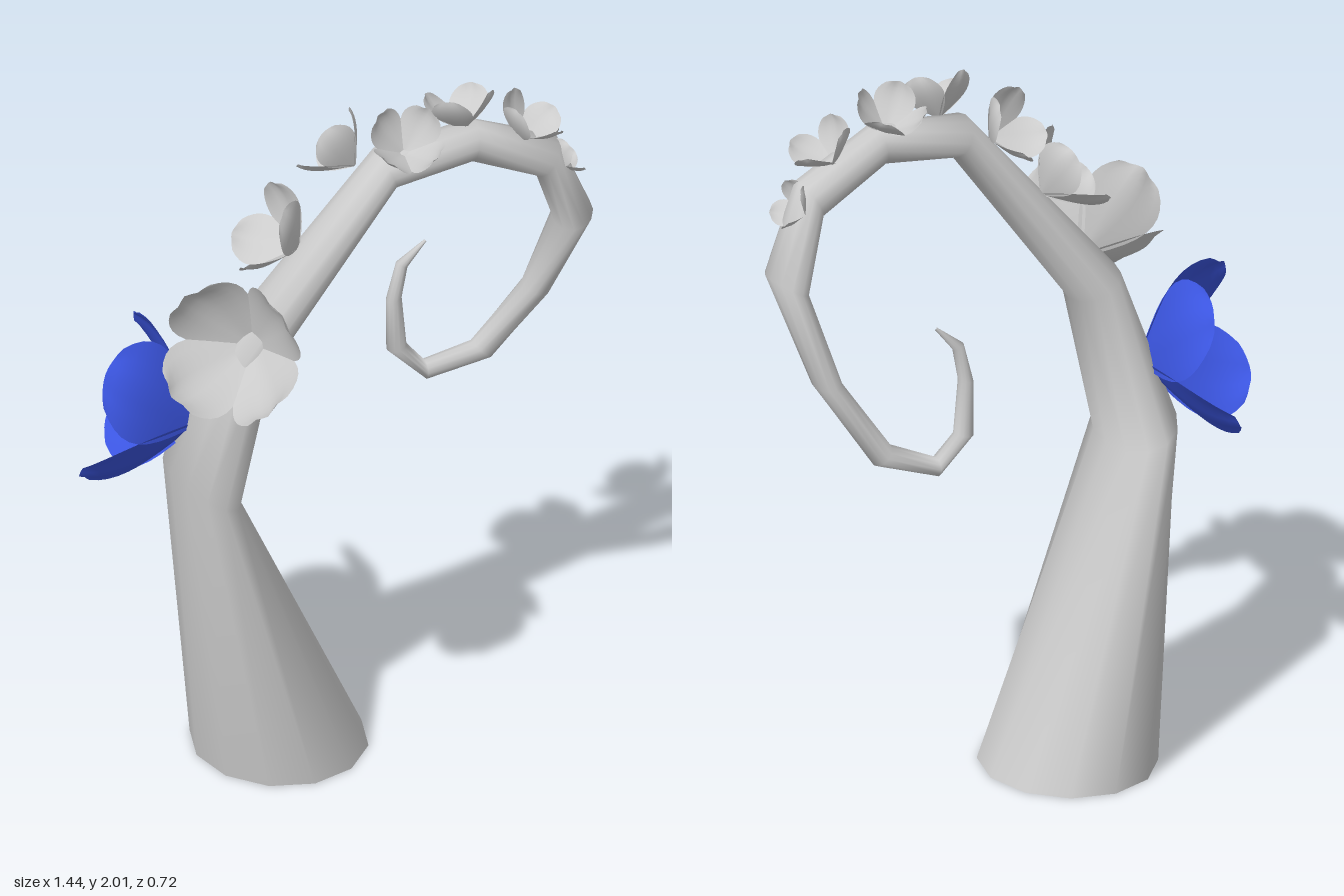
import * as THREE from 'three';

const SIDES = 12;

// Stem rings: outer x, y, inner x, y, centre z, half-width in z
const RINGS = [
  [-0.35, 0, 0.125, 0, -0.105, 0.255],
  [-0.455, 0.95, -0.275, 0.86, -0.03, 0.172],
  [-0.34, 1.35, -0.2, 1.28, 0.035, 0.1],
  [0.1, 1.88, 0.145, 1.77, 0.068, 0.068],
  [0.38, 1.915, 0.36, 1.8, 0.072, 0.057],
  [0.62, 1.805, 0.56, 1.7, 0.06, 0.062],
  [0.728, 1.56, 0.63, 1.51, 0.026, 0.085],
  [0.647, 1.26, 0.575, 1.27, -0.07, 0.053],
  [0.51, 1.03, 0.46, 1.08, -0.145, 0.036],
  [0.34, 0.975, 0.34, 1.03, -0.185, 0.028],
  [0.235, 1.08, 0.29, 1.09, -0.195, 0.027],
  [0.233, 1.235, 0.275, 1.245, -0.193, 0.022],
  [0.26, 1.35, 0.29, 1.335, -0.188, 0.017],
  [0.337, 1.41, 0.343, 1.405, -0.18, 0.004],
];

// Flowers: base position, facing direction, height
const FLOWERS = [
  ['blueFlower', [-0.375, 1.085, -0.035], [-0.78, 0.21, -0.55], 0.285],
  ['largeFlower', [-0.265, 1.37, 0.085], [-0.5, 0.28, 0.53], 0.235],
  ['flower', [-0.11, 1.61, 0.03], [-0.7, 0.5, -0.15], 0.155],
  ['flower', [0.055, 1.82, 0.02], [-0.45, 0.45, -0.55], 0.128],
  ['flower', [0.165, 1.875, 0.095], [-0.08, 0.75, 0.5], 0.12],
  ['flower', [0.35, 1.89, 0.065], [-0.02, 0.9, -0.3], 0.115],
  ['flower', [0.505, 1.83, 0.07], [0.4, 0.7, 0.12], 0.11],
  ['smallFlower', [0.6, 1.72, 0.055], [0.75, 0.42, 0.06], 0.082],
];

// Smooth grid surface from a point function; wrap joins the columns into a ring
function gridGeometry(rows, cols, wrap, point) {
  const positions = [], index = [];
  const n = wrap ? cols : cols + 1;
  for (let i = 0; i <= rows; i++) {
    for (let j = 0; j < n; j++) positions.push(...point(i, j));
  }
  for (let i = 0; i < rows; i++) {
    for (let j = 0; j < cols; j++) {
      const k = (j + 1) % n;
      const a = i * n + j, b = i * n + k, c = a + n, d = b + n;
      index.push(a, b, d, a, d, c);
    }
  }
  const g = new THREE.BufferGeometry();
  g.setAttribute('position', new THREE.Float32BufferAttribute(positions, 3));
  g.setIndex(index);
  g.computeVertexNormals();
  return g;
}

// Broad, blunt, cupped petal growing along +z and leaning out along +x
function petalGeometry() {
  const rows = 10, cols = 8;
  return gridGeometry(rows, cols, false, (i, j) => {
    const u = i / rows, v = (j / cols) * 2 - 1;
    const width = 0.03 + 0.46 * Math.sin(Math.PI * 0.8 * u);
    const radius = 0.72 * Math.sin(u * 1.7) + 0.1 * u ** 3;
    const ripple = 0.02 * Math.cos(v * Math.PI * 2) * u;
    return [
      radius - 0.2 * v * v * width + ripple,
      v * width,
      0.9 * u - 0.08 * v * v * u * u,
    ];
  });
}

export function createModel() {
  const model = new THREE.Group();
  model.name = 'floweringTendril';
  const grey = new THREE.MeshStandardMaterial({ color: 0xcccccc });
  const greyPetal = new THREE.MeshStandardMaterial({ color: 0xcccccc, side: THREE.DoubleSide });
  const bluePetal = new THREE.MeshStandardMaterial({ color: 0x3b55e0, side: THREE.DoubleSide });

  // Curling stem
  const stem = new THREE.Mesh(gridGeometry(RINGS.length - 1, SIDES, true, (i, j) => {
    const [ox, oy, ix, iy, z, rz] = RINGS[i];
    const a = (j / SIDES) * Math.PI * 2, c = Math.cos(a);
    return [
      (ox + ix) / 2 + c * (ox - ix) / 2,
      (oy + iy) / 2 + c * (oy - iy) / 2,
      z + Math.sin(a) * rz,
    ];
  }), grey);
  stem.name = 'stem';
  model.add(stem);

  // Flat underside of the stem
  const base = new THREE.Mesh(new THREE.CircleGeometry(1, SIDES), grey);
  base.name = 'stemBase';
  base.rotation.x = Math.PI / 2;
  base.scale.set(0.2375, 0.255, 1);
  base.position.set(-0.1125, 0, -0.105);
  model.add(base);

  // Four-petalled flowers along the back of the stem
  const petal = petalGeometry();
  for (const [name, pos, dir, size] of FLOWERS) {
    const flower = new THREE.Group();
    flower.name = name;
    for (let k = 0; k < 4; k++) {
      const mesh = new THREE.Mesh(petal, name === 'blueFlower' ? bluePetal : greyPetal);
      mesh.name = 'petal';
      mesh.rotation.z = Math.PI / 4 + k * Math.PI / 2;
      flower.add(mesh);
    }
    flower.position.set(...pos);
    flower.lookAt(new THREE.Vector3(...dir).add(flower.position));
    flower.scale.setScalar(size);
    model.add(flower);
  }
  return model;
}
